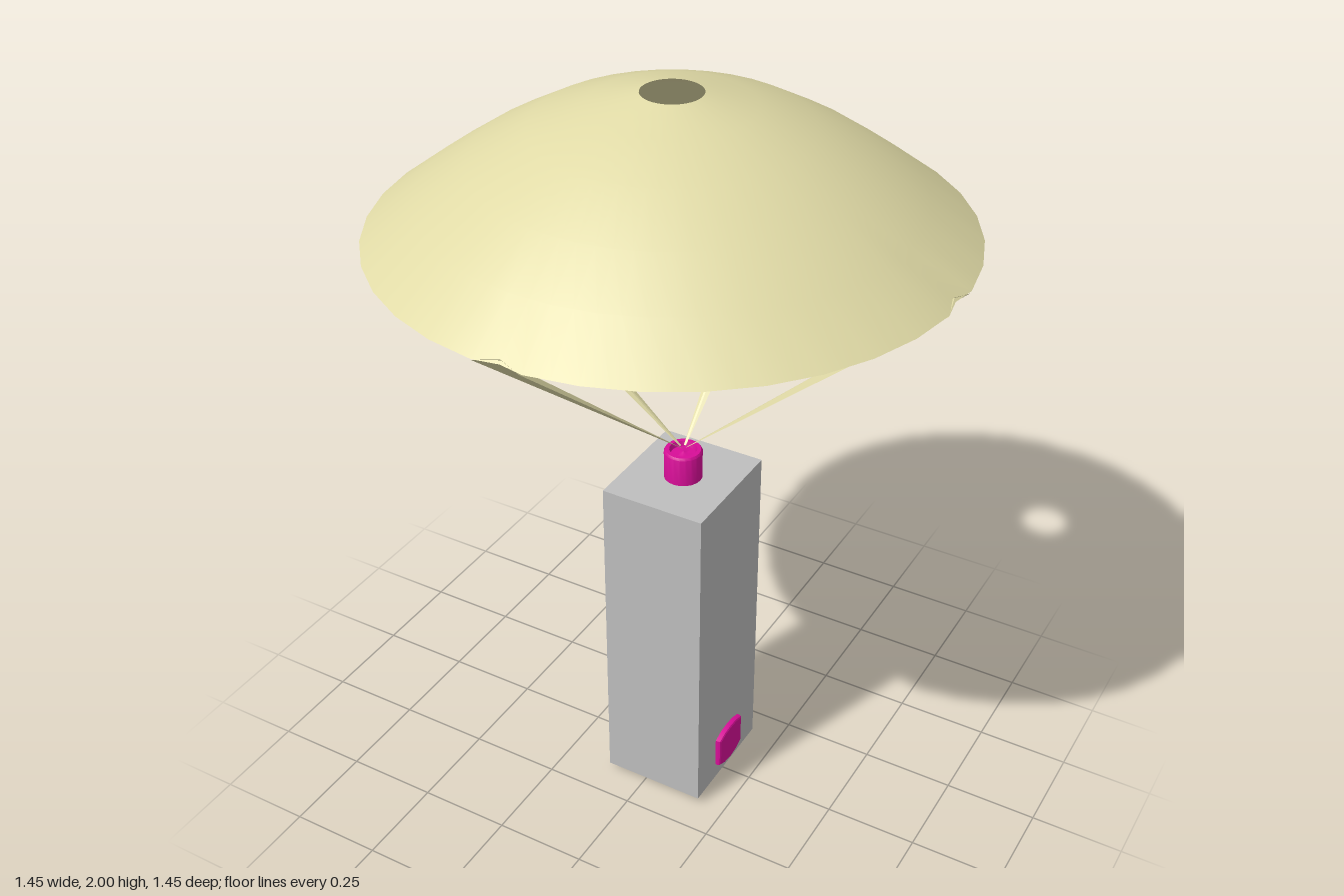
import * as THREE from 'three';
import { mergeVertices, toCreasedNormals } from 'three/addons/utils/BufferGeometryUtils.js';

const mat = (name, color, side = THREE.FrontSide) => {
  const m = new THREE.MeshStandardMaterial({ color, side });
  m.name = name;
  return m;
};
const points = (list) => list.map(([x, y]) => new THREE.Vector2(x, y));

export function createModel() {
  const cloth = mat('cream cloth', 0xe0daa6, THREE.DoubleSide);
  const grey = mat('grey casing', 0xbebebe);
  const magenta = mat('magenta fitting', 0xd80e98);
  const model = new THREE.Group();
  const add = (name, geometry, material, x = 0, y = 0, z = 0) => {
    const mesh = new THREE.Mesh(geometry, material);
    mesh.name = name;
    mesh.position.set(x, y, z);
    model.add(mesh);
    return mesh;
  };
  const cx = 0.033; // the load hangs slightly off centre

  // Canopy: 36-sided dome with a vent, rim pinched where the straps attach
  const canopy = new THREE.LatheGeometry(points([
    [0.73, 1.657], [0.60, 1.755], [0.475, 1.84], [0.335, 1.917], [0.2, 1.967], [0.075, 1.998],
  ]), 72);
  canopy.deleteAttribute('uv');
  canopy.deleteAttribute('normal');
  const p = canopy.attributes.position;
  for (let i = 0; i < p.count; i++) {
    const step = Math.floor(i / 6), rim = i % 6 === 0;
    if (step % 2) continue;
    const k = rim && step % 18 === 0 ? 0.98 : Math.cos(Math.PI / 36);
    p.setX(i, p.getX(i) * k);
    p.setZ(i, p.getZ(i) * k);
  }
  const dome = mergeVertices(canopy, 1e-4);
  dome.computeVertexNormals();
  add('canopy', dome, cloth);

  // Straps: folded tapering bands from the rim to the top fitting
  for (let i = 0; i < 4; i++) {
    const turn = new THREE.Matrix4().makeRotationY(i * Math.PI / 2);
    const at = (x, y, z) => new THREE.Vector3(x, y, z).applyMatrix4(turn);
    const a = at(-0.065, 1.655, 0.727), m = at(0, 1.667, 0.712), b = at(0.055, 1.655, 0.727);
    const tip = (dx) => at(dx, 1.05, 0.008).add(new THREE.Vector3(cx, 0, 0));
    const l = tip(-0.003), r = tip(0.003);
    const g = new THREE.BufferGeometry().setFromPoints([a, l, m, l, r, m, m, r, b]);
    g.computeVertexNormals();
    add('strap', g, cloth);
  }

  // Long box casing
  add('casing', new THREE.BoxGeometry(0.285, 0.942, 0.324), grey, cx, 0.491, 0);

  // Top fitting with a shallow recess
  const cap = new THREE.LatheGeometry(points([
    [0.05, 0.955], [0.05, 1.038], [0.046, 1.044], [0.036, 1.044], [0.032, 1.03], [0.012, 1.03], [0, 1.036],
  ]), 20);
  add('topFitting', toCreasedNormals(cap, 0.6), magenta, cx);

  // Round foot with a rounded edge and a recessed centre
  const foot = new THREE.LatheGeometry(points([
    [0, 0.006], [0.018, 0.006], [0.022, 0.01], [0.045, 0.01], [0.052, 0.004], [0.1, 0], [0.122, 0.001],
    [0.132, 0.007], [0.137, 0.015], [0.137, 0.024],
  ]), 32);
  add('foot', toCreasedNormals(foot, 0.6), magenta, cx);

  // Side knobs: bevelled shields on the two narrow faces
  const shield = new THREE.Shape(points([
    [-0.057, 0.072], [-0.03, 0.06], [0, 0.055], [0.03, 0.06], [0.057, 0.072],
    [0.057, 0.152], [0.03, 0.161], [0, 0.163], [-0.03, 0.161], [-0.057, 0.152],
  ]));
  for (const s of [1, -1]) {
    const g = new THREE.ExtrudeGeometry(shield, {
      depth: 0.008, bevelEnabled: true, bevelThickness: 0.008, bevelSize: 0.006, bevelSegments: 2,
    });
    const knob = add('sideKnob', toCreasedNormals(g, 0.5), magenta, cx + s * 0.1415);
    knob.rotation.y = s * Math.PI / 2;
  }
  return model;
}
